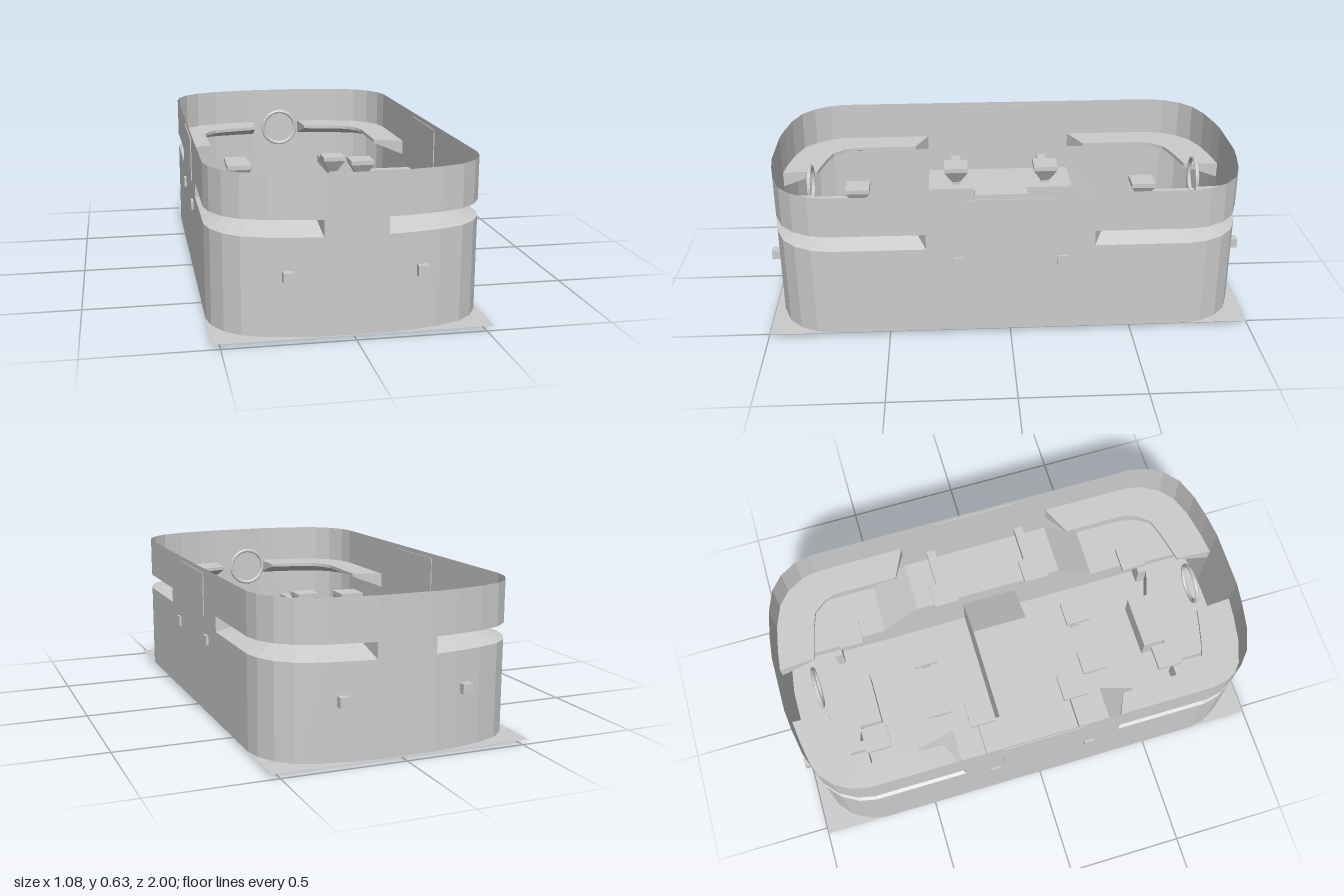
import * as THREE from 'three';

const mat = new THREE.MeshStandardMaterial({ color: 0xcccccc, flatShading: true, side: THREE.DoubleSide });
const BASE = 0.017, LOW = 0.13, DECK = 0.28, TOP = 0.63;
const SLOT_LOW = 0.395, SLOT_HIGH = 0.46, LEDGE_LOW = 0.445;
const PIT_X = 0.30, BRIDGE_Z = 0.125;

// One corner of the plan [x, z], from the end's middle to the long side
const outer = [[0.12, 0.988], [0.21, 0.977], [0.32, 0.957], [0.415, 0.922], [0.475, 0.87], [0.515, 0.8], [0.53, 0.73], [0.53, 0.34]];
const inner = [[0.13, 0.835], [0.2, 0.82], [0.28, 0.8], [0.34, 0.78], [0.38, 0.73], [0.4, 0.68], [0.4, 0.62], [0.4, 0.4]];
// Outline of the pit's end, right half
const pitEnd = [[PIT_X, 0.51], [PIT_X, 0.73], [0.24, 0.73], [0.24, 0.77], [0.12, 0.73], [0.12, 0.635]];

function mesh(name, geo, parent, x = 0, y = 0, z = 0) {
  const m = new THREE.Mesh(geo, mat);
  m.name = name;
  m.position.set(x, y, z);
  parent.add(m);
  return m;
}

// Surface made of separate four-cornered faces
function quads(list) {
  const pos = [];
  for (const [a, b, c, d] of list) pos.push(...a, ...b, ...c, ...a, ...c, ...d);
  const g = new THREE.BufferGeometry();
  g.setAttribute('position', new THREE.Float32BufferAttribute(pos, 3));
  g.computeVertexNormals();
  return g;
}

// Vertical faces along a plan path
function fence(path, y0, y1) {
  const list = [];
  for (let i = 0; i + 1 < path.length; i++) {
    const [a, b] = [path[i], path[i + 1]];
    list.push([[a[0], y0, a[1]], [b[0], y0, b[1]], [b[0], y1, b[1]], [a[0], y1, a[1]]]);
  }
  return list;
}

const mirrorX = (pts) => pts.map(([x, z]) => [-x, z]).reverse();
const mirrorZ = (pts) => pts.map(([x, z]) => [x, -z]).reverse();

// Square pad with a tapered underside, its top at y
function pad(parent, x, y, z) {
  const g = new THREE.Group();
  g.name = 'supportPad';
  g.position.set(x, y, z);
  mesh('padTop', new THREE.BoxGeometry(0.11, 0.02, 0.11), g, 0, -0.01, 0);
  const taper = new THREE.CylinderGeometry(0.055 * Math.SQRT2, 0.02 * Math.SQRT2, 0.06, 4).rotateY(Math.PI / 4);
  mesh('padTaper', taper, g, 0, -0.05, 0);
  parent.add(g);
}

function addWall(g) {
  // Closed plan: right half from front to back, then the left half
  const half = [...outer, ...mirrorZ(outer)];
  const loop = [...half, ...mirrorX(half), half[0]];
  const list = [...fence(loop, BASE, SLOT_LOW), ...fence(loop, SLOT_HIGH, TOP)];
  // Solid wall between the corner slots
  const endZ = outer[0][1];
  for (const s of [1, -1]) {
    list.push(...fence([[-0.12 * s, endZ * s], [0.12 * s, endZ * s]], SLOT_LOW, SLOT_HIGH));
    list.push(...fence([[0.53 * s, 0.34 * s], [0.53 * s, -0.34 * s]], SLOT_LOW, SLOT_HIGH));
  }
  mesh('outerWall', quads(list), g);
}

// Hollow ledge folded inwards behind a corner slot
function addLedge(g, sx) {
  const p = (q, y) => [q[0] * sx, y, q[1]];
  const sections = outer.map((o, i) => [p(o, SLOT_LOW), p(inner[i], LEDGE_LOW), p(inner[i], SLOT_HIGH), p(o, SLOT_HIGH)]);
  const list = [sections[0], sections[sections.length - 1]];
  for (let i = 0; i + 1 < sections.length; i++) {
    for (let k = 0; k < 3; k++) {
      list.push([sections[i][k], sections[i + 1][k], sections[i + 1][k + 1], sections[i][k + 1]]);
    }
  }
  mesh('cornerLedge', quads(list), g);
}

// Everything belonging to one end of the tub
function makeEnd() {
  const end = new THREE.Group();
  end.name = 'tubEnd';

  // Low floor around the end of the pit
  const rim = [[0.53, 0.51], ...outer.slice(0, 7).reverse()];
  const pit = [...pitEnd, ...mirrorX(pitEnd)];
  const plan = [...rim, ...mirrorX(rim), ...[...pit].reverse()];
  const shape = new THREE.Shape(plan.map(([x, z]) => new THREE.Vector2(x, -z)));
  mesh('lowFloor', new THREE.ShapeGeometry(shape).rotateX(-Math.PI / 2), end, 0, LOW, 0);
  mesh('pitEndWall', quads(fence(pit, BASE, LOW)), end);

  for (const s of [1, -1]) {
    // Raised side decks, ramps and pit sides
    const a = PIT_X * s, b = 0.53 * s;
    mesh('sideDeck', quads([
      [[a, DECK, 0], [a, DECK, 0.34], [b, DECK, 0.34], [b, DECK, 0]],
      [[a, DECK, 0.34], [a, LOW, 0.51], [b, LOW, 0.51], [b, DECK, 0.34]],
    ]), end);
    mesh('pitSideWall', quads([
      [[a, BASE, 0], [a, BASE, 0.34], [a, DECK, 0.34], [a, DECK, 0]],
      [[a, BASE, 0.34], [a, BASE, 0.51], [a, LOW, 0.51], [a, DECK, 0.34]],
    ]), end);
    // Rods through the walls and base, each carrying a pad
    mesh('sideRod', new THREE.BoxGeometry(0.27, 0.04, 0.04), end, 0.405 * s, 0.335, 0.21);
    pad(end, 0.29 * s, 0.41, 0.21);
    mesh('endRod', new THREE.BoxGeometry(0.04, 0.04, 0.345), end, 0.25 * s, 0.25, 0.8275);
    pad(end, 0.25 * s, 0.33, 0.67);
    mesh('floorRod', new THREE.BoxGeometry(0.04, 0.1, 0.04), end, 0.125 * s, 0.05, 0.37);
    pad(end, 0.125 * s, 0.165, 0.37);
    addLedge(end, s);
  }

  mesh('ring', new THREE.TorusGeometry(0.083, 0.009, 8, 28), end, 0, 0.453, 0.85);
  return end;
}

export function createModel() {
  const root = new THREE.Group();
  root.name = 'tub';

  mesh('basePlate', new THREE.PlaneGeometry(1.06, 1.99).rotateX(-Math.PI / 2), root, 0, BASE, 0);
  addWall(root);

  const front = makeEnd();
  const back = makeEnd();
  back.rotation.y = Math.PI;
  root.add(front, back);

  // Bridge between the two pits, with its left part sloping down
  const bridge = new THREE.Shape();
  bridge.moveTo(-PIT_X, BASE).lineTo(PIT_X, BASE).lineTo(PIT_X, DECK - 0.09).lineTo(0.12, DECK).lineTo(-PIT_X, DECK);
  mesh('bridge', new THREE.ExtrudeGeometry(bridge, { depth: 2 * BRIDGE_Z, bevelEnabled: false }), root, 0, 0, -BRIDGE_Z);

  // Thin panels in the long walls
  for (const s of [1, -1]) {
    mesh('sidePanel', new THREE.BoxGeometry(0.008, 0.18, 0.35), root, 0.53 * s, 0.52, 0);
  }
  return root;
}
